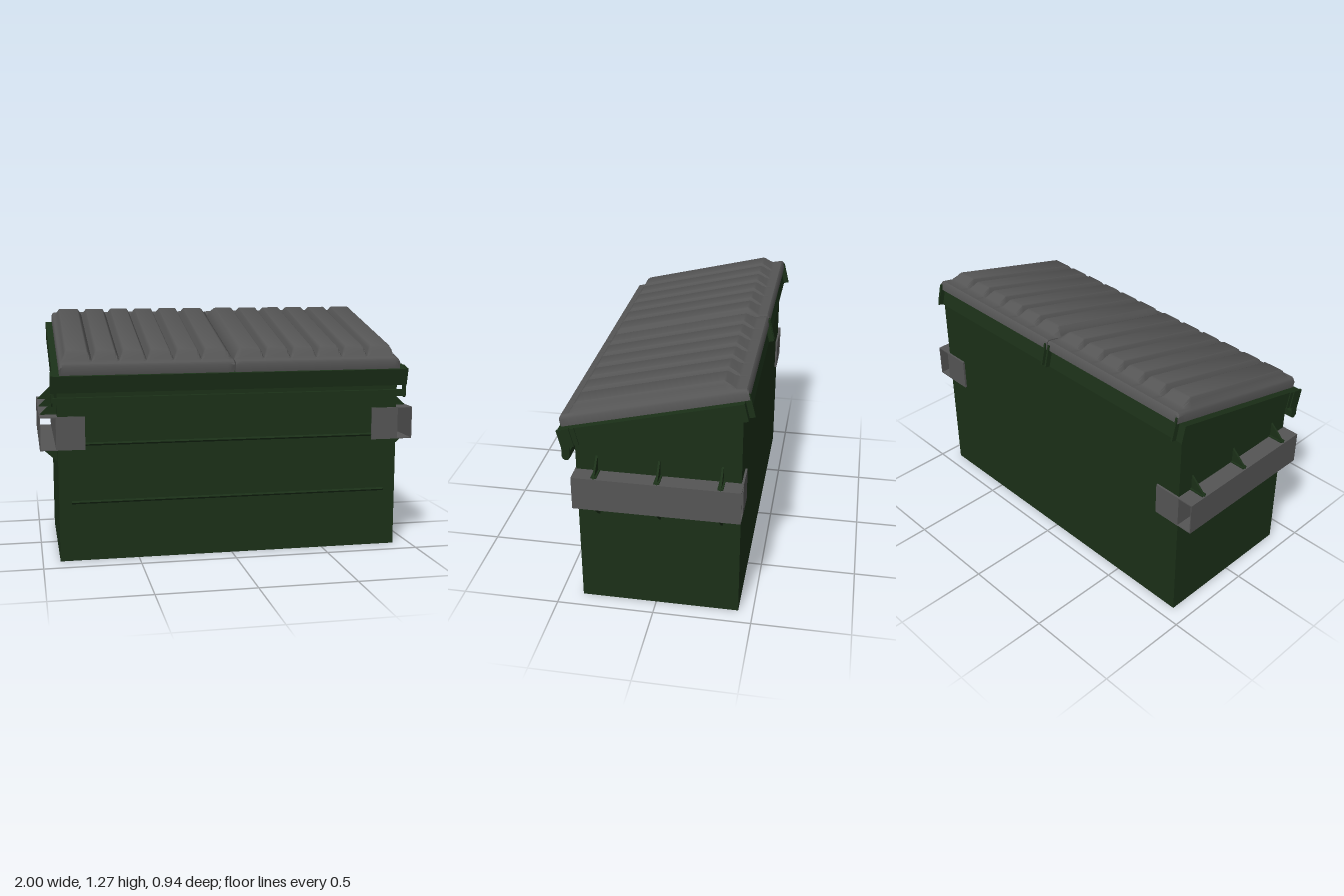
import * as THREE from 'three';
import { toCreasedNormals } from 'three/addons/utils/BufferGeometryUtils.js';

const green = new THREE.MeshStandardMaterial({ color: 0x1b3018 });
const lidGrey = new THREE.MeshStandardMaterial({ color: 0x555555 });
const steel = new THREE.MeshStandardMaterial({ color: 0x555555 });
const TILT = 0.24; // slope of the rim and lids

function add(parent, name, geometry, material) {
  const mesh = new THREE.Mesh(geometry, material);
  mesh.name = name;
  parent.add(mesh);
  return mesh;
}

// Box given by its min and max on each axis
function box(parent, name, material, x, y, z) {
  const size = [x, y, z].map(([a, b]) => Math.abs(b - a));
  const mesh = add(parent, name, new THREE.BoxGeometry(...size), material);
  mesh.position.set((x[0] + x[1]) / 2, (y[0] + y[1]) / 2, (z[0] + z[1]) / 2);
  return mesh;
}

function extrude(points, depth) {
  const shape = new THREE.Shape(points.map(p => new THREE.Vector2(...p)));
  return new THREE.ExtrudeGeometry(shape, { depth, bevelEnabled: false });
}

// Profile of [z, y] points extruded along x, centred on x = 0
function sideExtrude(points, width) {
  return extrude(points.map(([z, y]) => [-z, y]), width).translate(0, 0, -width / 2).rotateY(Math.PI / 2);
}

// Ribbed lid built from cross-sections along x; side is +1 or -1
function lidGeometry(side) {
  const edges = [0.003, 0.166, 0.31, 0.45, 0.59, 0.73, 0.882];
  // Columns: [x, rib height 0..1, base height]
  const columns = [[edges[0], 0, 0], [edges[0], 0, 0.052]];
  for (let i = 0; i < 6; i++) {
    const a = edges[i], b = edges[i + 1];
    const wa = i === 0 ? 0.045 : 0.026, wb = 0.026;
    columns.push([a + wa * 0.5, 0.6, 0.055], [a + wa * 0.8, 0.93, 0.055], [a + wa, 1, 0.055],
      [b - wb, 1, 0.055], [b - wb * 0.8, 0.93, 0.055], [b - wb * 0.5, 0.6, 0.055], [b, 0, 0.055]);
  }
  columns.push([0.89, 0, 0.05], [0.897, 0, 0.038], [0.897, 0, 0]);
  if (side < 0) columns.reverse();
  // Rows front to back: [z, rib ramp 0..1, base scale]
  const rows = [[0.4665, 0, 0], [0.4655, 0, 0.8], [0.456, 0, 1], [0.42, 0, 1], [0.41, 0.2, 1], [0.384, 0.8, 1],
    [0.368, 1, 1], [-0.359, 1, 1], [-0.37, 0.8, 1], [-0.402, 0.15, 1], [-0.412, 0, 1],
    [-0.458, 0, 0.95], [-0.465, 0, 0.75], [-0.46, 0, 0]];
  const positions = [], index = [], n = rows.length;
  for (const [x, rib, base] of columns)
    for (const [z, ramp, scale] of rows)
      positions.push(side * x, base * scale + 0.046 * Math.min(rib, ramp), z);
  for (let i = 0; i < columns.length - 1; i++)
    for (let j = 0; j < n; j++) {
      const k = (j + 1) % n;
      const a = i * n + j, b = a + n, c = (i + 1) * n + k, d = i * n + k;
      index.push(a, b, c, a, c, d);
    }
  const geometry = new THREE.BufferGeometry();
  geometry.setAttribute('position', new THREE.Float32BufferAttribute(positions, 3));
  geometry.setIndex(index);
  geometry.computeVertexNormals();
  return toCreasedNormals(geometry, 0.7);
}

export function createModel() {
  const model = new THREE.Group();
  model.name = 'dumpster';

  // Sloped-top container
  add(model, 'body', sideExtrude([[0.385, 0], [0.385, 0.985], [-0.425, 1.183], [-0.425, 0]], 1.82), green);

  // Pressed ridges on the front panel
  for (const [y, half] of [[0.31, 0.845], [0.615, 0.91]])
    add(model, 'frontRidge', sideExtrude([[0.384, y - 0.01], [0.391, y], [0.384, y + 0.01]], half * 2), green);

  // Tilted rim, lids and hinges
  const top = new THREE.Group();
  top.name = 'tiltedTop';
  top.position.y = 1.088;
  top.rotation.x = TILT;
  model.add(top);
  box(top, 'frontRim', green, [-0.937, 0.937], [-0.09, 0], [0.39, 0.478]);
  box(top, 'backRim', green, [-0.93, 0.93], [-0.09, 0], [-0.442, -0.4]);
  for (const s of [-1, 1]) {
    box(top, 'sideRim', green, [s * 0.88, s * 0.932], [-0.09, 0], [-0.442, 0.42]);
    box(top, 'rimEndCap', green, [s * 0.93, s * 0.942], [-0.093, 0.003], [0.415, 0.48]);
    add(top, 'lid', lidGeometry(s), lidGrey);
  }
  for (const x of [-0.89, -0.014, 0.014, 0.89])
    box(top, 'hingePlate', green, [x - 0.005, x + 0.005], [-0.09, 0.03], [-0.47, -0.43]);

  // Bar under the front rim, hung from rounded end links
  box(model, 'frontBar', green, [-0.937, 0.937], [0.828, 0.862], [0.408, 0.443]);
  const link = [[0.445, 0.93], [0.405, 0.93]];
  for (let i = 0; i <= 8; i++) {
    const a = Math.PI * i / 8;
    link.push([0.425 - 0.02 * Math.cos(a), 0.84 - 0.02 * Math.sin(a)]);
  }
  for (const s of [-1, 1])
    add(model, 'barLink', sideExtrude(link, 0.008), green).position.x = s * 0.936;

  // Fork sleeves: open channels with wrap plates and gussets
  for (const s of [-1, 1]) {
    const sleeve = new THREE.Group();
    sleeve.name = s > 0 ? 'leftForkSleeve' : 'rightForkSleeve';
    model.add(sleeve);
    const z = [-0.435, 0.39], t = 0.005;
    box(sleeve, 'outerPlate', steel, [s * (1 - t), s], [0.587, 0.76], z);
    box(sleeve, 'innerPlate', steel, [s * 0.908, s * 0.918], [0.587, 0.76], z);
    box(sleeve, 'topPlate', steel, [s * 0.91, s], [0.76 - t, 0.76], z);
    box(sleeve, 'bottomPlate', steel, [s * 0.91, s], [0.587, 0.587 + t], z);
    box(sleeve, 'frontWrapPlate', steel, [s * 0.77, s * 0.918], [0.587, 0.76], [0.38, 0.391]);
    box(sleeve, 'backWrapPlate', steel, [s * 0.77, s * 0.918], [0.587, 0.76], [-0.436, -0.42]);
    for (const gz of [0.28, -0.027, -0.333]) {
      const upper = [[s * 0.905, 0.76], [s * 0.995, 0.76], [s * 0.91, 0.842], [s * 0.905, 0.842]];
      const lower = [[s * 0.905, 0.587], [s * 0.995, 0.587], [s * 0.91, 0.51], [s * 0.905, 0.51]];
      for (const points of [upper, lower])
        add(sleeve, 'gusset', extrude(points, 0.01), green).position.z = gz - 0.005;
      // Flared foot where the gusset meets the sleeve
      box(sleeve, 'gussetFoot', green, [s * 0.91, s * 0.99], [0.759, 0.766], [gz - 0.014, gz + 0.014]);
    }
  }
  return model;
}
